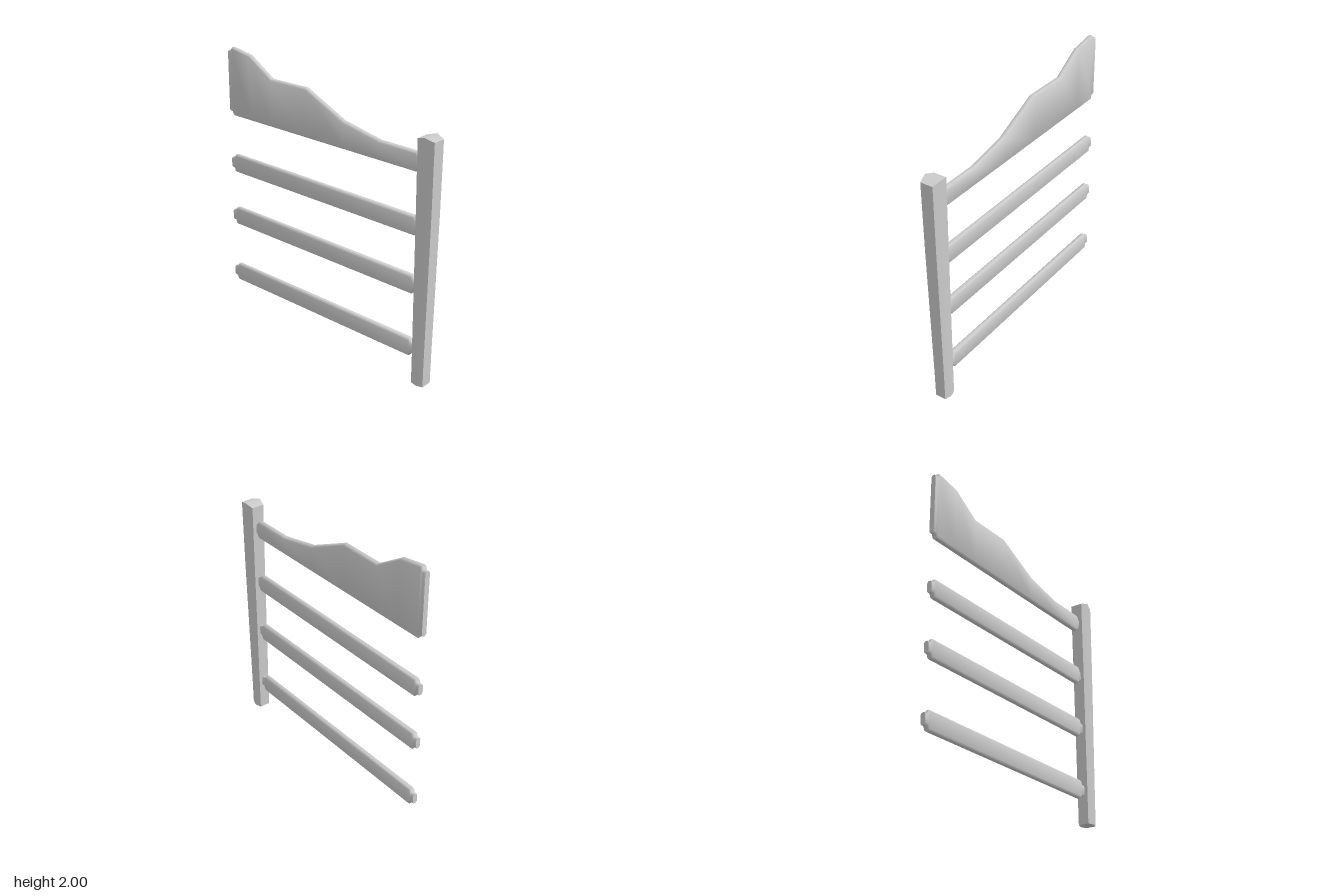
import * as THREE from 'three';
import { toCreasedNormals } from 'three/addons/utils/BufferGeometryUtils.js';

const material = new THREE.MeshStandardMaterial({ color: 0xcccccc });

// Skins a list of rings (each counter-clockwise about the loft direction) and caps both ends.
function loft(name, rings, crease) {
  const n = rings[0].length;
  const index = [];
  for (let r = 0; r < rings.length - 1; r++) {
    for (let i = 0; i < n; i++) {
      const a = r * n + i, b = r * n + (i + 1) % n;
      index.push(a, b, b + n, a, b + n, a + n);
    }
  }
  const last = (rings.length - 1) * n;
  for (let i = 1; i < n - 1; i++) {
    index.push(0, i + 1, i, last, last + i, last + i + 1);
  }
  const geometry = new THREE.BufferGeometry();
  geometry.setAttribute('position', new THREE.Float32BufferAttribute(rings.flat(2), 3));
  geometry.setIndex(index);
  const mesh = new THREE.Mesh(toCreasedNormals(geometry, crease), material);
  mesh.name = name;
  return mesh;
}

// Six-sided post section: widest at mid depth, with an optional ridge there
function postRing(y, halfWidth, zBack, zFront, ridge = 0) {
  const edge = halfWidth * 0.74, mid = (zBack + zFront) / 2;
  return [
    [-halfWidth, y + ridge, mid], [-edge, y, zFront], [edge, y, zFront],
    [halfWidth, y + ridge, mid], [edge, y, zBack], [-edge, y, zBack],
  ];
}

// Upright board section with chamfered edges
function boardRing(z, bottom, top, w = 0.022) {
  const cx = w * 0.5, cy = 0.012;
  return [
    [w, bottom + cy, z], [w, top - cy, z], [cx, top, z], [-cx, top, z],
    [-w, top - cy, z], [-w, bottom + cy, z], [-cx, bottom, z], [cx, bottom, z],
  ];
}

// Board running from back to front; "top" lists [z, y] points of the upper edge
function board(name, bottom, top, shift = 0) {
  const back = top[0], front = top[top.length - 1];
  const rings = [
    boardRing(-0.917, bottom + 0.027, back[1] - 0.027, 0.018),
    boardRing(-0.893, bottom + 0.027, back[1] - 0.027, 0.018),
    ...top.map(([z, y]) => boardRing(z, bottom, y)),
    boardRing(front[0] + 0.022, bottom + 0.027, front[1] - 0.027, 0.018),
    boardRing(0.825, bottom + 0.027, front[1] - 0.027, 0.018),
  ];
  const mesh = loft(name, rings, 0.9);
  mesh.position.z = shift;
  return mesh;
}

export function createModel() {
  const group = new THREE.Group();
  group.name = 'fenceSection';

  // Tapered post with a ridged top
  group.add(loft('post', [
    postRing(0, 0.054, 0.82, 0.917),
    postRing(0.2, 0.055, 0.819, 0.918),
    postRing(1.25, 0.06, 0.81, 0.932),
    postRing(1.735, 0.062, 0.804, 0.934, 0.02),
  ], 0.7));

  // Straight rails, following the post's taper
  [[0.175, -0.009], [0.645, -0.005], [1.065, 0]].forEach(([y, shift], i) => {
    const top = y + 0.134;
    group.add(board(`rail${i + 1}`, y, [[-0.877, top], [0.778, top]], -shift * -1));
  });

  // Top board with a stepped, rising upper edge
  group.add(board('topBoard', 1.5, [
    [-0.878, 2.0], [-0.70, 1.972], [-0.49, 1.842], [-0.165, 1.847],
    [0.17, 1.692], [0.475, 1.632], [0.778, 1.632],
  ]));
  return group;
}
